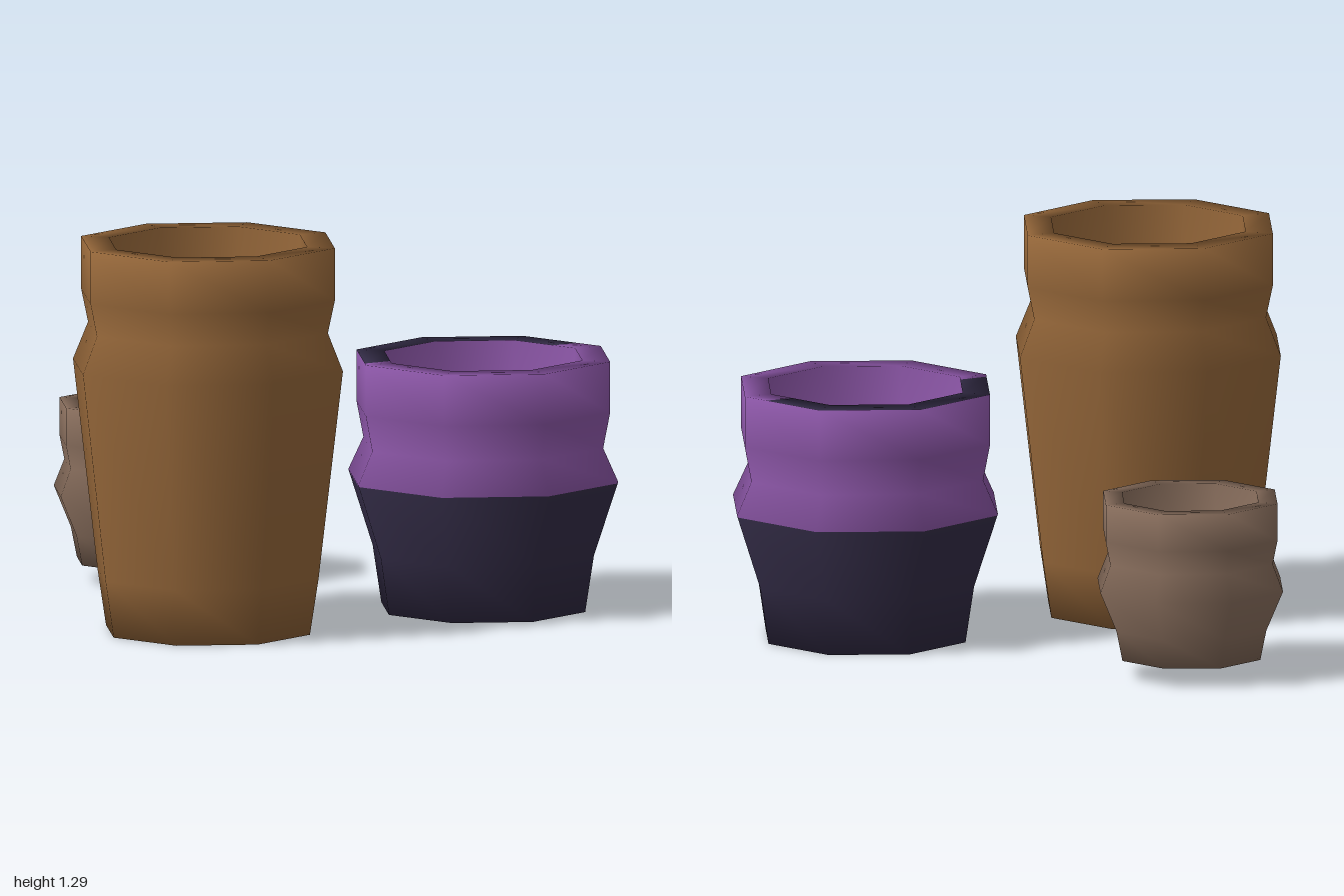
import * as THREE from 'three';

const paint = (name, color) => {
  const m = new THREE.MeshStandardMaterial({ color });
  m.name = name;
  return m;
};

// Eight-sided hollow pot turned from one profile: underside, wall, rim, inside, floor
function potGeometry(scale, base, foot, shoulder, neck, collar, top, floor) {
  const rings = [
    [0, base], [0.352, base], [0.382, foot], [0.466, shoulder], [0.414, neck],
    [0.438, collar], [0.438, top], [0.342, top], [0.34, floor], [0, floor],
  ];
  const profile = rings.map(([r, y]) => new THREE.Vector2(r * scale, y));
  return new THREE.LatheGeometry(profile, 8, THREE.MathUtils.degToRad(17.5));
}

// Cuts a geometry in two where side(point, faceNormal) changes sign, keeping smooth normals
function cutGeometry(source, side) {
  const g = source.toNonIndexed();
  const pos = g.attributes.position, nor = g.attributes.normal;
  const halves = [1, -1].map(() => ({ p: [], n: [] }));
  const face = new THREE.Vector3();
  for (let i = 0; i < pos.count; i += 3) {
    const tri = [0, 1, 2].map((k) => ({
      p: new THREE.Vector3().fromBufferAttribute(pos, i + k),
      n: new THREE.Vector3().fromBufferAttribute(nor, i + k),
    }));
    new THREE.Triangle(tri[0].p, tri[1].p, tri[2].p).getNormal(face);
    if (face.lengthSq() < 0.5) continue;
    const value = tri.map((v) => side(v.p, face));
    [1, -1].forEach((sign, h) => {
      const poly = [];
      for (let k = 0; k < 3; k++) {
        const a = tri[k], b = tri[(k + 1) % 3];
        const da = value[k] * sign, db = value[(k + 1) % 3] * sign;
        if (da >= 0) poly.push(a);
        if (da * db < 0) {
          const t = da / (da - db);
          poly.push({ p: a.p.clone().lerp(b.p, t), n: a.n.clone().lerp(b.n, t).normalize() });
        }
      }
      for (let k = 1; k + 1 < poly.length; k++) {
        for (const v of [poly[0], poly[k], poly[k + 1]]) {
          halves[h].p.push(v.p.x, v.p.y, v.p.z);
          halves[h].n.push(v.n.x, v.n.y, v.n.z);
        }
      }
    });
  }
  return halves.map(({ p, n }) => {
    const out = new THREE.BufferGeometry();
    out.setAttribute('position', new THREE.Float32BufferAttribute(p, 3));
    out.setAttribute('normal', new THREE.Float32BufferAttribute(n, 3));
    return out;
  });
}

export function createModel() {
  const model = new THREE.Group();
  const brown = paint('brown clay', 0x946639);
  const tan = paint('greyish clay', 0x866c5b);
  const purple = paint('purple glaze', 0x8a55a5);
  const dark = paint('dark glaze', 0x322b45);

  const add = (name, geometry, material, x, z) => {
    const mesh = new THREE.Mesh(geometry, material);
    mesh.name = name;
    mesh.position.set(x, 0, z);
    model.add(mesh);
  };

  // Tall and small single-colour pots
  add('tallPot', potGeometry(1, 0, 0.19, 0.885, 1.01, 1.12, 1.295, 0.2), brown, 0.08, 0.45);
  add('smallPot', potGeometry(0.7, 0.065, 0.165, 0.3, 0.39, 0.47, 0.595, 0.2), tan, -0.685, -0.31);

  // Two-tone pot: dark lower wall, and level faces split along a diagonal
  const twoTone = potGeometry(1, 0, 0.19, 0.44, 0.55, 0.67, 0.84, 0.2);
  const [upper, lower] = cutGeometry(twoTone, (p, face) => {
    if (Math.abs(face.y) > 0.9) return 0.8 * (p.x + 0.07) + 0.35 * p.z;
    const inside = face.x * p.x + face.z * p.z < 0;
    return inside ? 1 : p.y - 0.435;
  });
  add('glazedPotUpper', upper, purple, 0.555, -0.46);
  add('glazedPotLower', lower, dark, 0.555, -0.46);

  return model;
}
